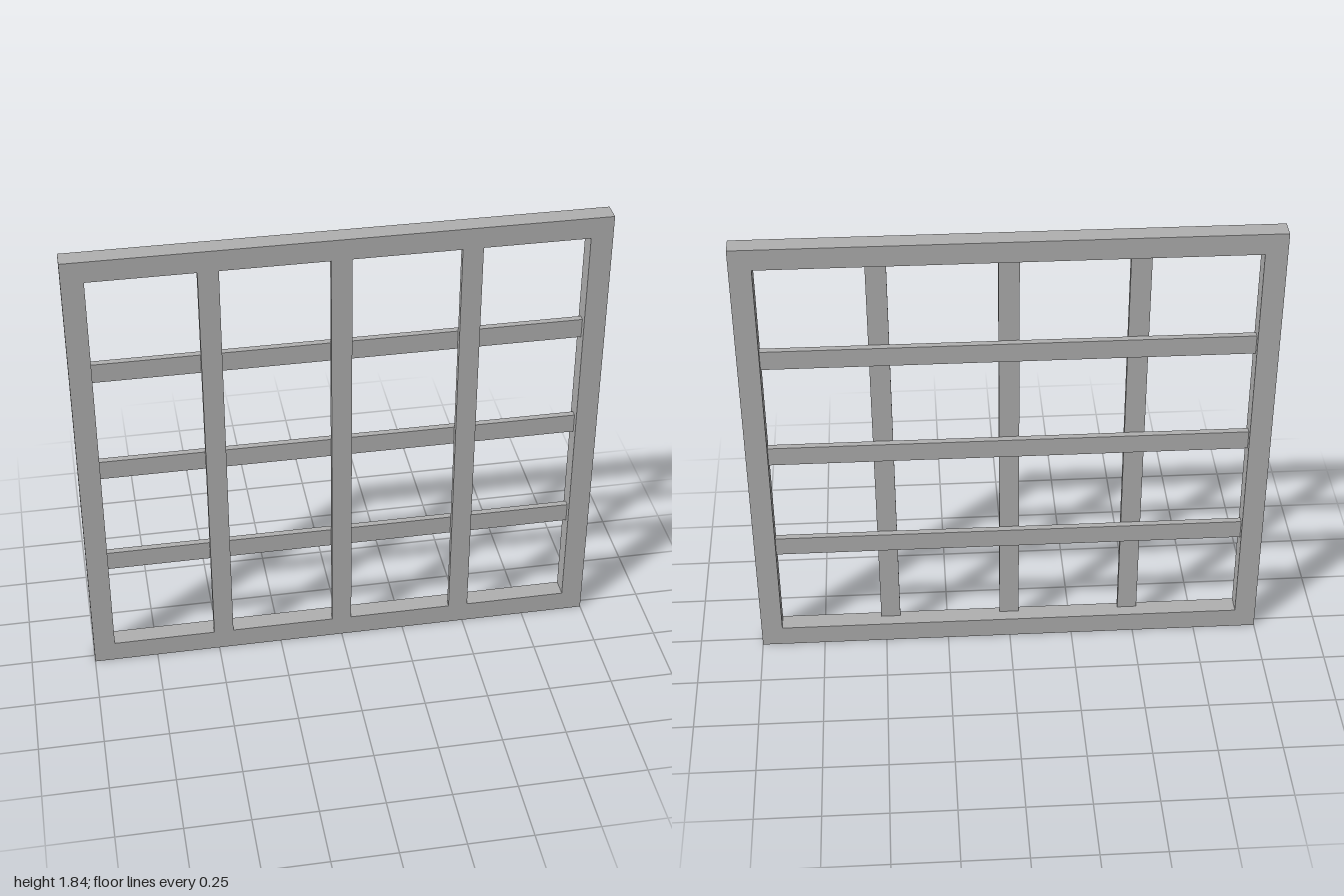
import * as THREE from 'three';

export function createModel() {
  const group = new THREE.Group();
  const grey = new THREE.MeshStandardMaterial({ color: 0xb0b0b0 });
  grey.name = 'grey';

  const height = 1.835, depth = 0.074, border = 0.083, bar = 0.077;
  const barDepth = 0.025, spacingX = 0.48, spacingY = 0.435;
  const innerW = 2 - 2 * border, innerH = height - 2 * border;

  // Outer frame: rectangle with a rectangular opening
  const rect = (target, x, y) => {
    target.moveTo(-x, -y);
    target.lineTo(x, -y);
    target.lineTo(x, y);
    target.lineTo(-x, y);
    target.closePath();
    return target;
  };
  const outline = rect(new THREE.Shape(), 1, height / 2);
  outline.holes.push(rect(new THREE.Path(), innerW / 2, innerH / 2));
  const frameGeometry = new THREE.ExtrudeGeometry(outline, { depth, bevelEnabled: false });
  const frame = new THREE.Mesh(frameGeometry, grey);
  frame.name = 'frame';
  frame.position.set(0, height / 2, -depth / 2);
  group.add(frame);

  // Upright bars flush with the front, crossbars running just behind them
  const addBar = (name, w, h, x, y, z) => {
    const mesh = new THREE.Mesh(new THREE.BoxGeometry(w, h, barDepth), grey);
    mesh.name = name;
    mesh.position.set(x, y, z);
    group.add(mesh);
  };
  for (const i of [-1, 0, 1]) {
    addBar('uprightBar', bar, innerH, i * spacingX, height / 2, depth / 2 - barDepth / 2);
    addBar('crossbar', innerW, bar, 0, height / 2 + i * spacingY, depth / 2 - barDepth * 1.5);
  }
  return group;
}
